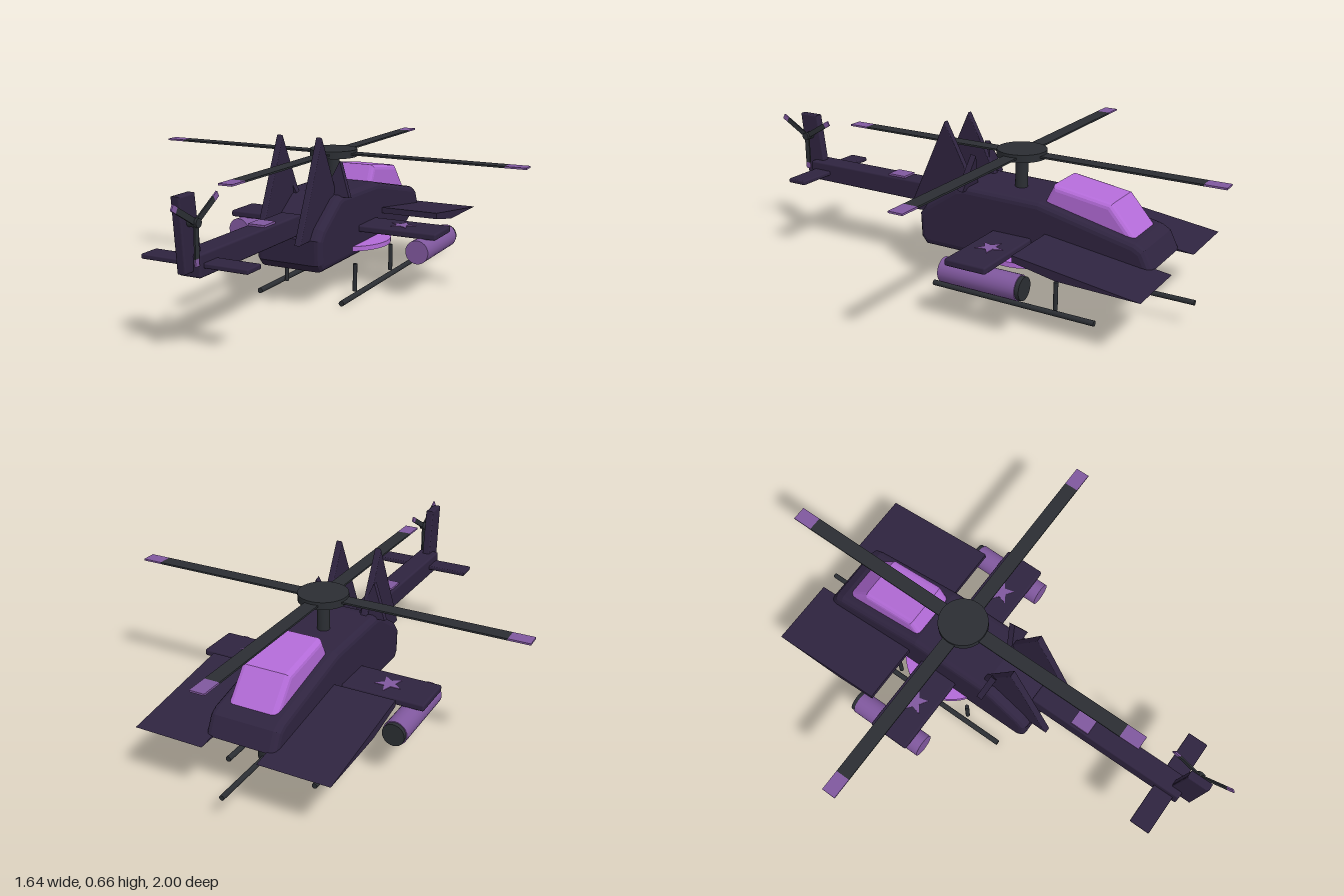
import * as THREE from 'three';
import { RoundedBoxGeometry } from 'three/addons/geometries/RoundedBoxGeometry.js';

const mat = (name, color) => Object.assign(new THREE.MeshStandardMaterial({ color }), { name });

export function createModel() {
  const model = new THREE.Group();
  model.name = 'helicopter';
  const hull = mat('dark plum', 0x2f2440);
  const glass = mat('bright violet', 0xb36bd8);
  const trim = mat('muted violet', 0x80589e);
  const metal = mat('gunmetal', 0x2b2e33);

  const add = (name, geometry, material, x = 0, y = 0, z = 0, parent = model) => {
    const mesh = new THREE.Mesh(geometry, material);
    mesh.name = name;
    mesh.position.set(x, y, z);
    parent.add(mesh);
    return mesh;
  };
  const box = (w, h, d) => new THREE.BoxGeometry(w, h, d);
  const softBox = (w, h, d, r = 0.008) => new RoundedBoxGeometry(w, h, d, 2, r);
  const tube = (r, length, sides = 24) => new THREE.CylinderGeometry(r, r, length, sides);
  const tubeZ = (r, length) => tube(r, length).rotateX(Math.PI / 2);

  // Extrudes a (z, y) side profile across x, centred on x = 0
  const sideProfile = (points, width, bevel = 0) => {
    const shape = new THREE.Shape(points.map(([z, y]) => new THREE.Vector2(z, y)));
    const geometry = new THREE.ExtrudeGeometry(shape, {
      depth: width - 2 * bevel, bevelEnabled: bevel > 0, bevelSize: bevel,
      bevelThickness: bevel, bevelOffset: -bevel, bevelSegments: 3,
    });
    return geometry.translate(0, 0, bevel - width / 2).rotateY(-Math.PI / 2);
  };

  // Fuselage and canopy
  add('fuselage', sideProfile([
    [0.18, 0.15], [0.205, 0.18], [0.21, 0.28], [0.18, 0.32], [0.04, 0.415], [0, 0.425],
    [-0.33, 0.42], [-0.72, 0.335], [-0.755, 0.315], [-0.79, 0.245], [-0.6, 0.15],
  ], 0.285, 0.025), hull);
  add('canopy', sideProfile([
    [-0.33, 0.4], [-0.37, 0.485], [-0.605, 0.45], [-0.705, 0.335], [-0.68, 0.3],
  ], 0.2, 0.02), glass);

  // Tail boom, fin and stabilizer
  add('tailBoom', softBox(0.088, 0.082, 0.68), hull, 0, 0.331, 0.515);
  add('tailBand', box(0.07, 0.008, 0.08), trim, 0, 0.376, 0.395);
  add('tailFin', sideProfile([
    [0.80, 0.31], [0.9, 0.31], [0.925, 0.572], [0.835, 0.572],
  ], 0.034, 0.006), hull);
  add('stabilizer', softBox(0.425, 0.018, 0.085, 0.005), hull, 0, 0.33, 0.793);

  // Tail rotor with three tipped blades
  const tailRotor = new THREE.Group();
  tailRotor.name = 'tailRotor';
  tailRotor.position.set(0.043, 0.482, 0.872);
  model.add(tailRotor);
  add('tailHub', tube(0.016, 0.04).rotateZ(Math.PI / 2), metal, -0.008, 0, 0, tailRotor);
  for (let i = 0; i < 3; i++) {
    const blade = new THREE.Group();
    blade.name = 'tailBlade';
    blade.rotation.x = Math.PI / 3 + i * Math.PI * 2 / 3;
    tailRotor.add(blade);
    add('bladeArm', box(0.006, 0.12, 0.022), metal, 0, 0.06, 0, blade);
    add('bladeTip', box(0.006, 0.026, 0.022), trim, 0, 0.133, 0, blade);
  }

  // Main rotor
  const rotor = new THREE.Group();
  rotor.name = 'mainRotor';
  rotor.position.set(0, 0.56, -0.183);
  model.add(rotor);
  add('mast', tube(0.025, 0.15), metal, 0, -0.075, 0, rotor);
  add('rotorHub', tube(0.098, 0.03, 32), metal, 0, 0, 0, rotor);
  for (let i = 0; i < 4; i++) {
    const blade = new THREE.Group();
    blade.name = 'rotorBlade';
    blade.rotation.y = i * Math.PI / 2;
    rotor.add(blade);
    add('bladeArm', box(0.735, 0.007, 0.057), metal, 0.3675, 0, 0, blade);
    add('bladeTip', box(0.083, 0.007, 0.057), trim, 0.7765, 0, 0, blade);
  }

  // Stub wings and the round belly plate
  add('stubWing', softBox(0.95, 0.028, 0.172), hull, 0, 0.26, -0.22);
  add('bellyPlate', tube(1, 0.02, 48).scale(0.225, 1, 0.205), glass, 0, 0.187, -0.235);

  // Flat star for the wing tops, pointing to the nose
  const star = new THREE.Shape();
  for (let i = 0; i < 10; i++) {
    const r = i % 2 ? 0.023 : 0.056, a = Math.PI / 2 + i * Math.PI / 5;
    star[i ? 'lineTo' : 'moveTo'](r * Math.cos(a), r * Math.sin(a));
  }
  const starGeometry = new THREE.ExtrudeGeometry(star, { depth: 0.003, bevelEnabled: false });
  starGeometry.rotateX(-Math.PI / 2);

  // Mirrored parts
  for (const s of [-1, 1]) {
    add('wingStar', starGeometry, trim, s * 0.298, 0.273, -0.22);
    add('noseWing', sideProfile([
      [-0.365, 0.28], [-0.365, 0.305], [-0.855, 0.24], [-0.54, 0.247],
    ], 0.28), hull, s * 0.25);
    add('pod', tubeZ(0.048, 0.32), trim, s * 0.413, 0.202, -0.255);
    add('podCap', tubeZ(0.044, 0.018), metal, s * 0.413, 0.202, -0.422);
    add('backFin', sideProfile([
      [0, 0.28], [0.285, 0.275], [0.11, 0.662], [-0.03, 0.4],
    ], 0.027, 0.005), hull, s * 0.086);

    // Leaning ear plates, slightly staggered
    const ear = new THREE.Shape([[-0.06, 0], [0.055, 0], [0, 0.14]].map(p => new THREE.Vector2(...p)));
    const earPlate = add('earPlate', new THREE.ExtrudeGeometry(ear, { depth: 0.024, bevelEnabled: false }),
      hull, s * 0.11, 0.412, s > 0 ? -0.015 : 0.0);
    earPlate.rotation.x = s > 0 ? -0.2 : 0.2;

    // Landing skids
    add('skidRail', tubeZ(0.011, 0.71), metal, s * 0.185, 0.015, -0.245);
    for (const z of [-0.067, -0.425]) add('skidStrut', tube(0.009, 0.115, 12), metal, s * 0.159, 0.073, z);
  }

  // Chin gun
  add('gunTurret', tube(0.042, 0.06), metal, 0, 0.12, -0.6);
  add('gunBarrel', tubeZ(0.01, 0.3), metal, 0, 0.102, -0.76);

  return model;
}
